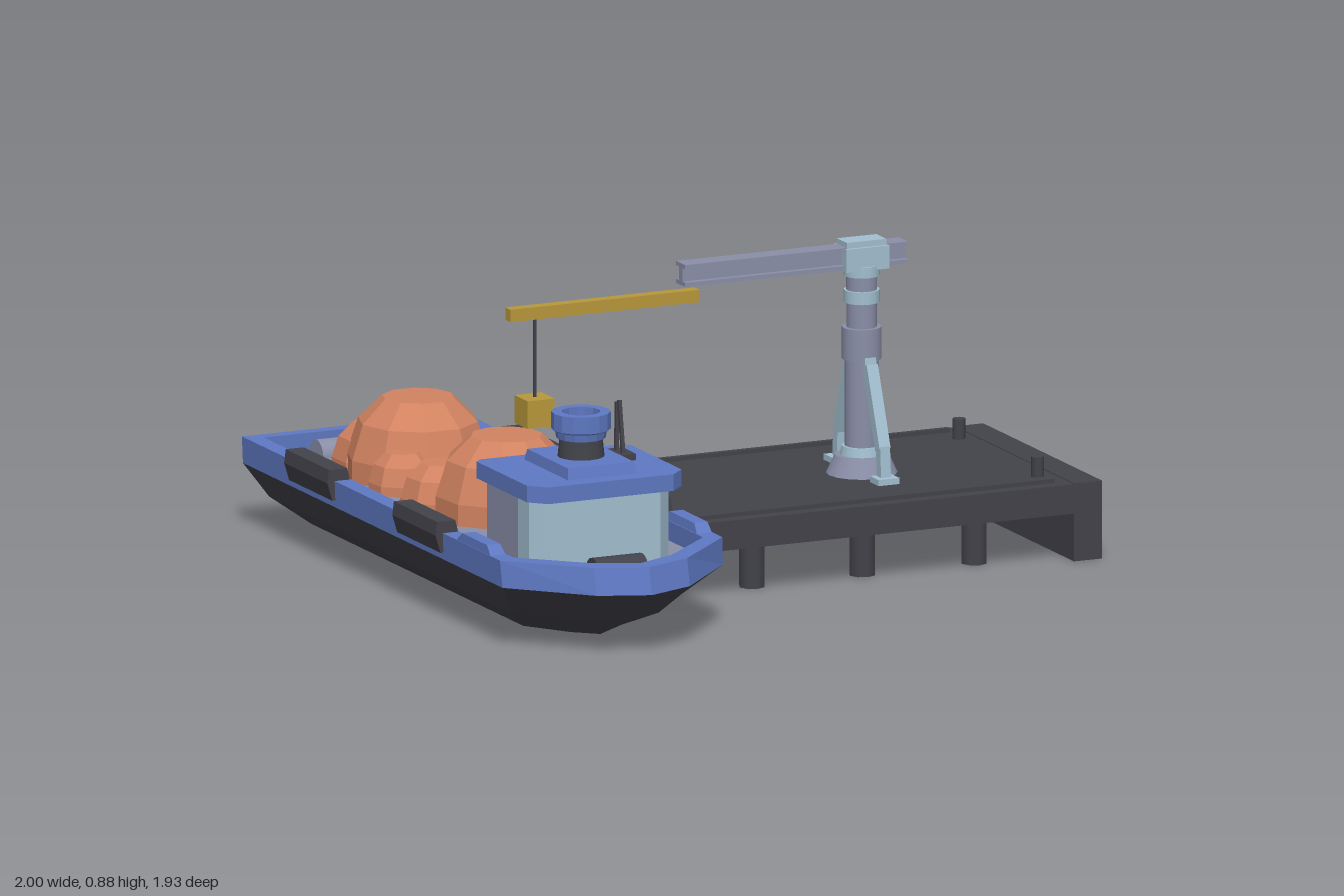
import * as THREE from 'three';

const mat = (name, color) => {
  const m = new THREE.MeshStandardMaterial({ color });
  m.name = name;
  return m;
};

// Flat-shaded skin through equal-length rings of [x, y, z], closed at both ends
function loft(rings) {
  const centre = (r) => {
    const c = [0, 1, 2].map((k) => r.reduce((s, p) => s + p[k], 0) / r.length);
    return r.map(() => c);
  };
  const all = [centre(rings[0]), ...rings, centre(rings[rings.length - 1])];
  const pos = [];
  for (let j = 0; j < all.length - 1; j++) {
    const lo = all[j], hi = all[j + 1], n = lo.length;
    for (let i = 0; i < n; i++) {
      const k = (i + 1) % n;
      if (j > 0) pos.push(...lo[i], ...hi[k], ...lo[k]);
      if (j < all.length - 2) pos.push(...lo[i], ...hi[i], ...hi[k]);
    }
  }
  const g = new THREE.BufferGeometry();
  g.setAttribute('position', new THREE.Float32BufferAttribute(pos, 3));
  g.computeVertexNormals();
  return g;
}

// Rings for loft: ship outline, rectangle with cut corners, regular polygon
function hullRing(y, w, stern, shoulder, tip) {
  const nose = tip - 0.055;
  return [[w, stern], [w, shoulder], [w * 0.42, nose], [0, tip],
    [-w * 0.42, nose], [-w, shoulder], [-w, stern]].map(([x, z]) => [x, y, z]);
}
const rectRing = (y, x0, x1, z0, z1, back = 0, front = 0) => [
  [x1 - back, z0], [x1, z0 + back], [x1, z1 - front], [x1 - front, z1],
  [x0 + front, z1], [x0, z1 - front], [x0, z0 + back], [x0 + back, z0],
].map(([x, z]) => [x, y, z]);
const polyRing = (y, r, n, cx, cz, turn) => Array.from({ length: n }, (_, i) => {
  const a = turn + (i / n) * Math.PI * 2;
  return [cx + r * Math.cos(a), y, cz + r * Math.sin(a)];
});

export function createModel() {
  const blue = mat('ship blue', 0x5e78c2);
  const dark = mat('dark grey', 0x42424a);
  const grey = mat('steel grey', 0x8a8fa8);
  const pale = mat('pale blue', 0xa2bfd0);
  const orange = mat('ore orange', 0xd28361);
  const yellow = mat('jib yellow', 0xb8983c);

  const root = new THREE.Group();
  root.name = 'shipAndDock';
  const group = (name, x) => {
    const g = new THREE.Group();
    g.name = name;
    g.position.x = x;
    root.add(g);
    return g;
  };
  const add = (parent, name, geometry, material, x = 0, y = 0, z = 0) => {
    const m = new THREE.Mesh(geometry, material);
    m.name = name;
    m.position.set(x, y, z);
    parent.add(m);
    return m;
  };
  // Box given by its limits on each axis
  const box = (parent, name, material, x0, x1, y0, y1, z0, z1) =>
    add(parent, name, new THREE.BoxGeometry(x1 - x0, y1 - y0, z1 - z0), material,
      (x0 + x1) / 2, (y0 + y1) / 2, (z0 + z1) / 2);
  const drum = (parent, name, material, y0, y1, r0, r1, x = 0, z = 0, n = 16) =>
    add(parent, name, new THREE.CylinderGeometry(r1, r0, y1 - y0, n), material, x, (y0 + y1) / 2, z);
  // Square bar between two points
  const bar = (parent, name, material, a, b, w, d) => {
    const p = new THREE.Vector3(...a), q = new THREE.Vector3(...b);
    const m = add(parent, name, new THREE.BoxGeometry(w, p.distanceTo(q), d), material);
    m.position.copy(p).add(q).multiplyScalar(0.5);
    m.quaternion.setFromUnitVectors(new THREE.Vector3(0, 1, 0), q.sub(p).normalize());
    return m;
  };

  // Ship hull, bulwark and deck
  const ship = group('ship', -0.64);
  add(ship, 'lowerHull', loft([
    hullRing(0, 0.15, -0.92, 0.45, 0.63),
    hullRing(0.08, 0.26, -0.96, 0.6, 0.83),
    hullRing(0.18, 0.335, -0.97, 0.71, 0.965),
  ]), dark);
  add(ship, 'bulwark', loft([
    hullRing(0.18, 0.335, -0.97, 0.71, 0.965),
    hullRing(0.255, 0.338, -0.97, 0.7, 0.945),
    hullRing(0.255, 0.288, -0.933, 0.68, 0.89),
    hullRing(0.195, 0.288, -0.933, 0.68, 0.89),
  ]), blue);
  add(ship, 'deck', loft([
    hullRing(0.19, 0.288, -0.933, 0.68, 0.89),
    hullRing(0.2, 0.288, -0.933, 0.68, 0.89),
  ]), grey);

  // Raised bulwark sections and hull fenders on both sides
  for (const s of [-1, 1]) {
    const side = (y, a, b, z0, z1) =>
      rectRing(y, Math.min(s * a, s * b), Math.max(s * a, s * b), z0, z1);
    add(ship, 'raisedBulwark', loft([
      side(0.25, 0.29, 0.337, 0.41, 0.64), side(0.28, 0.295, 0.335, 0.45, 0.61),
    ]), blue);
    for (const z of [-0.65, 0.05]) {
      add(ship, 'fender', loft([
        side(0.2, 0.305, 0.345, z, z + 0.28),
        side(0.25, 0.29, 0.36, z, z + 0.28),
        side(0.288, 0.3, 0.355, z, z + 0.28),
      ]), dark);
    }
  }

  // Bow winch and stern roller
  const roller = (name, material, r, length, z) => {
    const m = drum(ship, name, material, 0, length, r, r, 0, z);
    m.rotation.z = Math.PI / 2;
    m.position.y = 0.2;
  };
  roller('bowWinch', dark, 0.045, 0.15, 0.74);
  roller('sternRoller', grey, 0.045, 0.3, -0.887);

  // Wheelhouse
  box(ship, 'cabinRear', grey, -0.21, 0.21, 0.19, 0.4, 0.345, 0.55);
  add(ship, 'cabinFront', loft([0.19, 0.4].map((y) =>
    rectRing(y, -0.212, 0.212, 0.55, 0.665, 0, 0.045))), pale);
  add(ship, 'cabinRoof', loft([0.4, 0.447].map((y) =>
    rectRing(y, -0.235, 0.235, 0.31, 0.7, 0.02, 0.045))), blue);
  add(ship, 'upperRoof', loft([
    rectRing(0.445, -0.105, 0.105, 0.36, 0.645), rectRing(0.478, -0.1, 0.1, 0.37, 0.635),
  ]), blue);
  box(ship, 'rearLocker', grey, -0.075, 0.075, 0.19, 0.33, 0.25, 0.35);

  // Funnel
  drum(ship, 'funnelBase', dark, 0.475, 0.545, 0.065, 0.058, 0, 0.505);
  const funnel = [[0.05, 0.53], [0.068, 0.53], [0.072, 0.55], [0.082, 0.555], [0.082, 0.603], [0.053, 0.603], [0.053, 0.57]];
  const cowl = [];
  for (const [r, y] of funnel) cowl.push(polyRing(y, r, 14, 0, 0.505, 0));
  add(ship, 'funnelCowl', loft(cowl), blue);
  drum(ship, 'funnelOpening', dark, 0.565, 0.575, 0.052, 0.052, 0, 0.505);

  // Aerials on a small mount
  box(ship, 'aerialMount', dark, 0.105, 0.17, 0.445, 0.465, 0.41, 0.5);
  bar(ship, 'tallAerial', dark, [0.14, 0.46, 0.48], [0.14, 0.61, 0.455], 0.01, 0.01);
  bar(ship, 'shortAerial', dark, [0.14, 0.46, 0.435], [0.145, 0.6, 0.43], 0.01, 0.01);

  // Ore heaps: faceted domes as [x, z, radius, top]
  const heaps = [
    [0, -0.55, 0.2, 0.425], [-0.07, -0.69, 0.115, 0.33], [0.105, -0.415, 0.11, 0.32], [-0.115, -0.405, 0.095, 0.31],
    [0.02, -0.02, 0.2, 0.425], [-0.11, -0.165, 0.115, 0.33], [0.11, -0.16, 0.1, 0.33], [0.075, 0.115, 0.11, 0.32],
  ];
  heaps.forEach(([x, z, r, top], i) => {
    const n = r > 0.15 ? 10 : 8, h = top - 0.19;
    add(ship, 'oreHeap', loft([[0, 1], [0.3, 1], [0.72, 0.84], [1, 0.5]].map(([t, k]) =>
      polyRing(0.19 + t * h, r * k, n, x, z, i * 0.37))), orange);
  });

  // Dock slab, end wall, kerbs, bollards and piles
  const dock = group('dock', 0);
  box(dock, 'dockSlab', dark, -0.265, 0.92, 0.135, 0.218, -0.385, 0.385);
  box(dock, 'dockEndWall', dark, 0.915, 1, 0, 0.22, -0.385, 0.385);
  for (const s of [-1, 1]) {
    box(dock, 'kerb', dark, -0.225, 0.875, 0.215, 0.23, s * 0.34 - 0.008, s * 0.34 + 0.008);
    drum(dock, 'bollard', dark, 0.215, 0.275, 0.018, 0.018, 0.865, s * 0.255, 10);
    for (const x of [-0.015, 0.32, 0.66])
      drum(dock, 'dockPile', dark, 0, 0.14, 0.037, 0.037, x, s * 0.28, 8);
  }

  // Crane column: stacked drums as [material, y0, y1, r0, r1]
  const crane = group('crane', 0.45);
  [
    [grey, 0.215, 0.27, 0.1, 0.075], [pale, 0.27, 0.295, 0.06, 0.055],
    [grey, 0.29, 0.55, 0.047, 0.047], [grey, 0.54, 0.63, 0.055, 0.055],
    [grey, 0.63, 0.7, 0.042, 0.042], [pale, 0.7, 0.735, 0.05, 0.05],
    [grey, 0.73, 0.78, 0.043, 0.043], [pale, 0.775, 0.805, 0.05, 0.05],
  ].forEach(([m, y0, y1, r0, r1]) => drum(crane, 'columnSection', m, y0, y1, r0, r1));
  box(crane, 'craneHead', pale, -0.065, 0.065, 0.795, 0.86, -0.042, 0.042);
  box(crane, 'headCap', pale, -0.06, 0.06, 0.86, 0.877, -0.032, 0.032);

  // Bracing legs
  for (const s of [-1, 1]) {
    bar(crane, 'braceUpper', pale, [0, 0.31, s * 0.138], [0, 0.53, s * 0.055], 0.034, 0.03);
    bar(crane, 'braceTop', pale, [0, 0.5, s * 0.052], [0, 0.55, s * 0.045], 0.034, 0.025);
    bar(crane, 'braceFoot', pale, [0, 0.22, s * 0.145], [0, 0.32, s * 0.138], 0.03, 0.028);
    box(crane, 'footPlate', pale, -0.032, 0.032, 0.215, 0.235, s * 0.15 - 0.028, s * 0.15 + 0.028);
  }

  // I-beam boom, sliding jib, cable and load block
  box(crane, 'boomTopFlange', grey, -0.55, 0.127, 0.85, 0.862, -0.029, 0.029);
  box(crane, 'boomWeb', grey, -0.55, 0.127, 0.81, 0.852, -0.012, 0.012);
  box(crane, 'boomBottomFlange', grey, -0.55, 0.127, 0.8, 0.812, -0.029, 0.029);
  box(crane, 'jib', yellow, -1.075, -0.5, 0.75, 0.785, -0.017, 0.017);
  drum(crane, 'cable', dark, 0.52, 0.755, 0.005, 0.005, -0.993, 0, 6);
  box(crane, 'loadBlock', yellow, -1.035, -0.953, 0.45, 0.528, -0.043, 0.043);

  return root;
}
